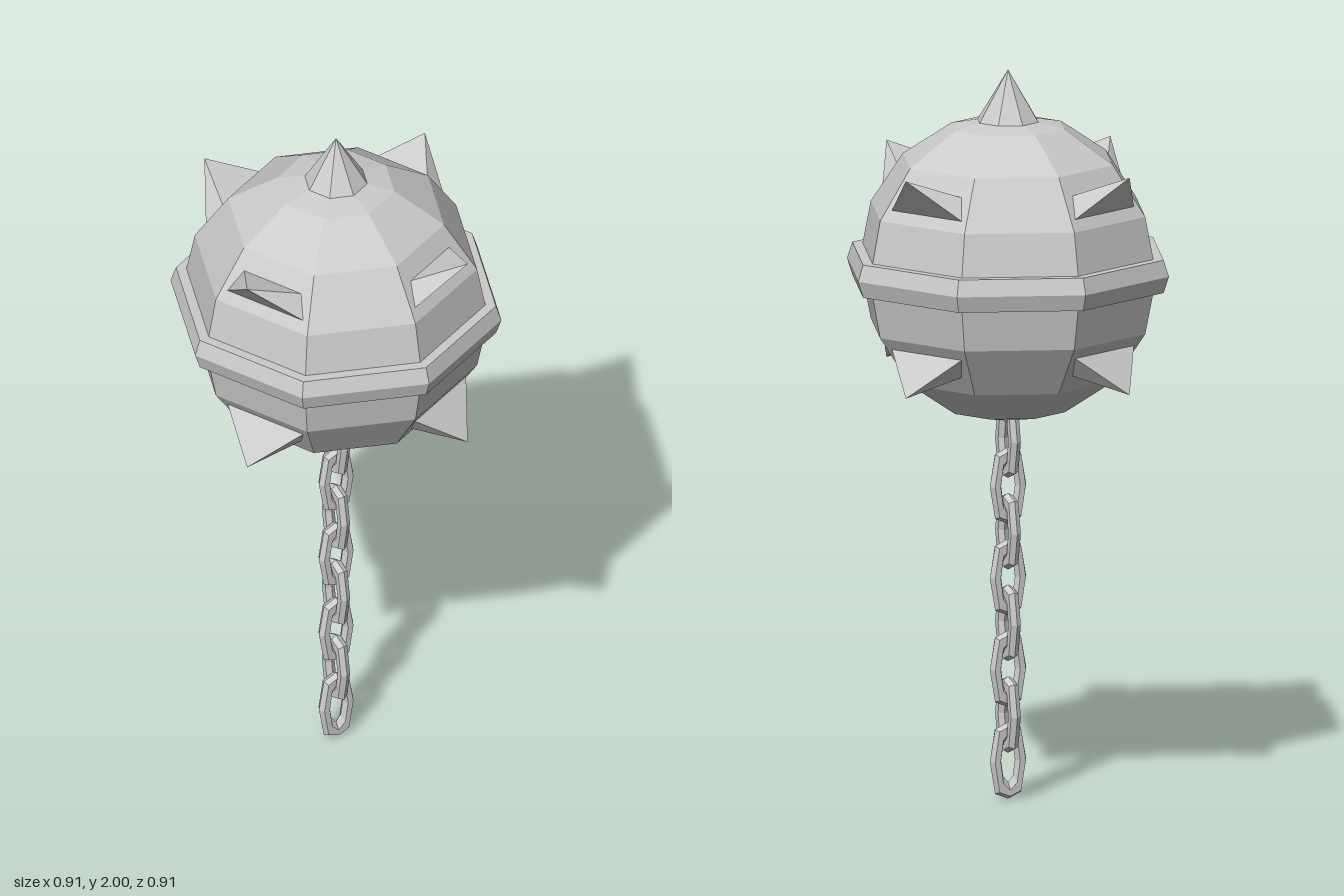
import * as THREE from 'three';

const CENTER = 1.457;

export function createModel() {
  const model = new THREE.Group();
  const metal = new THREE.MeshStandardMaterial({ color: 0xcccccc, flatShading: true });
  const add = (name, geometry, parent = model) => {
    const mesh = new THREE.Mesh(geometry, metal);
    mesh.name = name;
    parent.add(mesh);
    return mesh;
  };

  // Faceted ball
  add('ball', new THREE.SphereGeometry(0.42, 8, 8)).position.y = CENTER;

  // Ridged belt around the equator
  const profile = [[0.38, -0.045], [0.44, -0.045], [0.455, 0], [0.44, 0.045], [0.38, 0.045]]
    .map(([r, y]) => new THREE.Vector2(r, y));
  add('belt', new THREE.LatheGeometry(profile, 8)).position.y = CENTER;

  // Pointed top
  add('topSpike', new THREE.ConeGeometry(0.092, 0.15, 8)).position.y = 1.925;

  // Four-sided side spikes, above and below the belt
  const spikes = new THREE.Group();
  spikes.name = 'sideSpikes';
  model.add(spikes);
  for (const side of [1, -1]) {
    for (let i = 0; i < 4; i++) {
      const spike = add(side > 0 ? 'upperSpike' : 'lowerSpike', spikeGeometry(side), spikes);
      spike.position.y = CENTER;
      spike.rotation.y = Math.PI / 8 + i * Math.PI / 2;
    }
  }

  // Chain of links, each turned a quarter from the last
  const chain = new THREE.Group();
  chain.name = 'chain';
  model.add(chain);
  const link = linkGeometry();
  for (let i = 0; i < 8; i++) {
    const mesh = add('chainLink', link, chain);
    mesh.position.y = 0.105 + i * 0.1257;
    mesh.rotation.y = (i % 2) * Math.PI / 2;
  }
  return model;
}

// Pyramid on a trapezoid base, leaning out along +z; side -1 mirrors it downwards
function spikeGeometry(side) {
  const apex = new THREE.Vector3(0, 0.298, 0.428);
  const base = [[-0.12, 0.193, 0.342], [0.12, 0.193, 0.342], [0.1, 0.243, 0.295], [-0.1, 0.243, 0.295]]
    .map((p) => new THREE.Vector3(...p).sub(apex).multiplyScalar(1.2).add(apex));
  const points = [];
  base.forEach((p, i) => {
    const next = base[(i + 1) % 4];
    points.push(...(side > 0 ? [p, next, apex] : [next, p, apex]));
  });
  const geometry = new THREE.BufferGeometry().setFromPoints(points);
  geometry.scale(1, 1, 1);
  const pos = geometry.attributes.position;
  for (let i = 0; i < pos.count; i++) pos.setY(i, pos.getY(i) * side);
  geometry.computeVertexNormals();
  return geometry;
}

// Ring pulled apart vertically into an oval, keeping the wire thickness
function linkGeometry() {
  const geometry = new THREE.TorusGeometry(0.038, 0.017, 6, 8);
  const pos = geometry.attributes.position;
  for (let i = 0; i < pos.count; i++) {
    const y = pos.getY(i);
    pos.setY(i, y + 0.05 * THREE.MathUtils.clamp(y / 0.027, -1, 1));
  }
  geometry.computeVertexNormals();
  return geometry;
}
